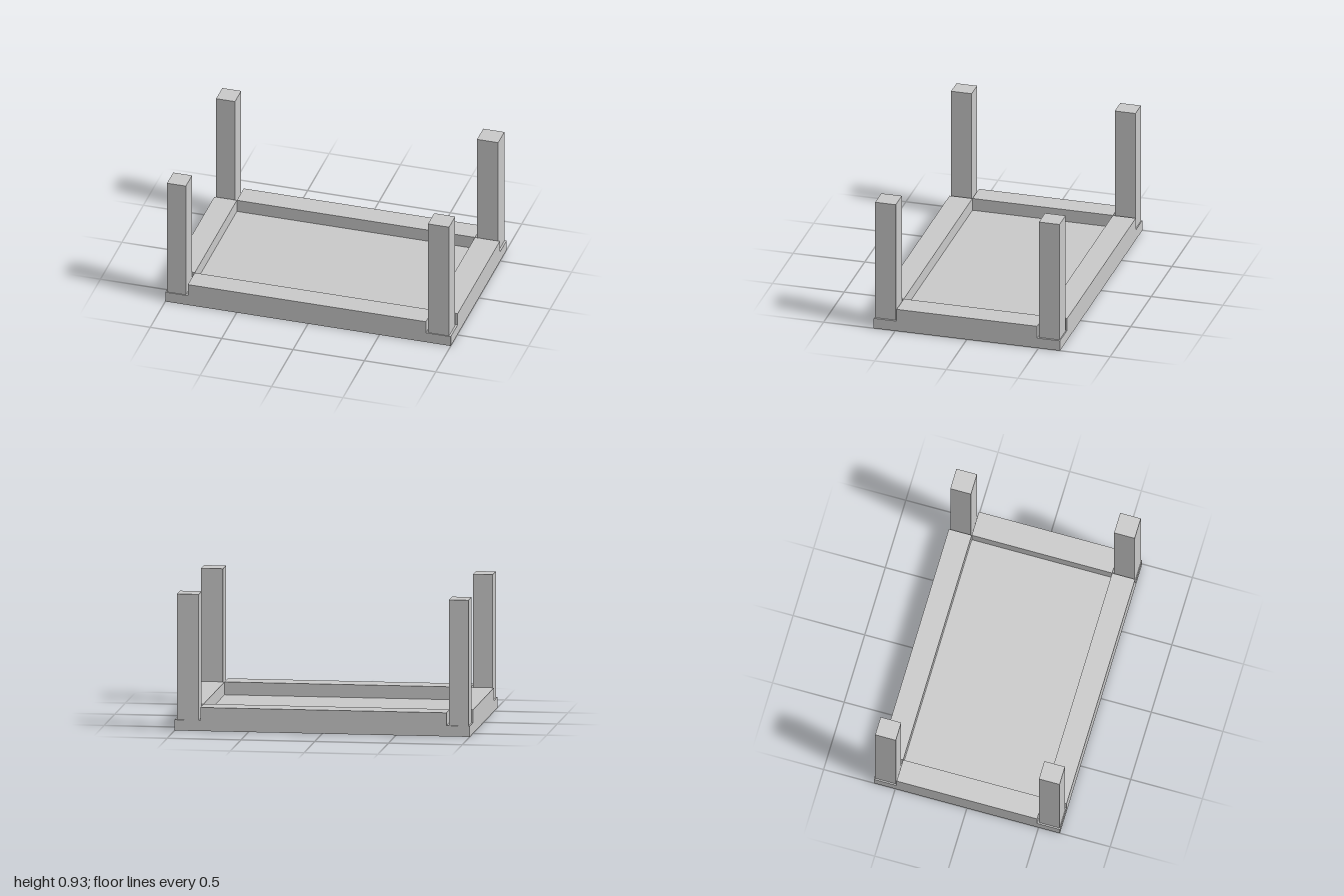
import * as THREE from 'three';

const SLAB_H = 0.073, RAIL_TOP = 0.16, LEG_TOP = 0.926;
const HALF_X = 1, HALF_Z = 0.65;
// inner faces of the apron rails
const IN_L = -0.842, IN_R = 0.826, IN_Z = 0.49;

export function createModel() {
  const group = new THREE.Group();
  const material = new THREE.MeshStandardMaterial({ color: 0xcccccc, flatShading: true });

  // box given by its extents on each axis
  function box(name, [x0, x1], [y0, y1], [z0, z1]) {
    const mesh = new THREE.Mesh(new THREE.BoxGeometry(x1 - x0, y1 - y0, z1 - z0), material);
    mesh.position.set((x0 + x1) / 2, (y0 + y1) / 2, (z0 + z1) / 2);
    mesh.name = name;
    group.add(mesh);
  }

  // table top, lying face down
  box('tableTop', [-HALF_X, HALF_X], [0, SLAB_H], [-HALF_Z, HALF_Z]);

  // apron rails, leaving the four corners open for the legs
  const railY = [SLAB_H, RAIL_TOP];
  box('frontRail', [IN_L, IN_R], railY, [IN_Z, HALF_Z]);
  box('backRail', [IN_L, IN_R], railY, [-HALF_Z, -IN_Z]);
  box('rightRail', [-HALF_X, IN_L], railY, [-IN_Z, IN_Z]);
  box('leftRail', [IN_R, HALF_X], railY, [-IN_Z, IN_Z]);

  // legs standing in the corner notches
  const legY = [SLAB_H, LEG_TOP];
  for (const [side, x] of [['Right', [-0.99, -0.858]], ['Left', [0.838, 0.986]]]) {
    box('front' + side + 'Leg', x, legY, [0.5, 0.644]);
    box('back' + side + 'Leg', x, legY, [-0.643, -0.499]);
  }

  return group;
}
